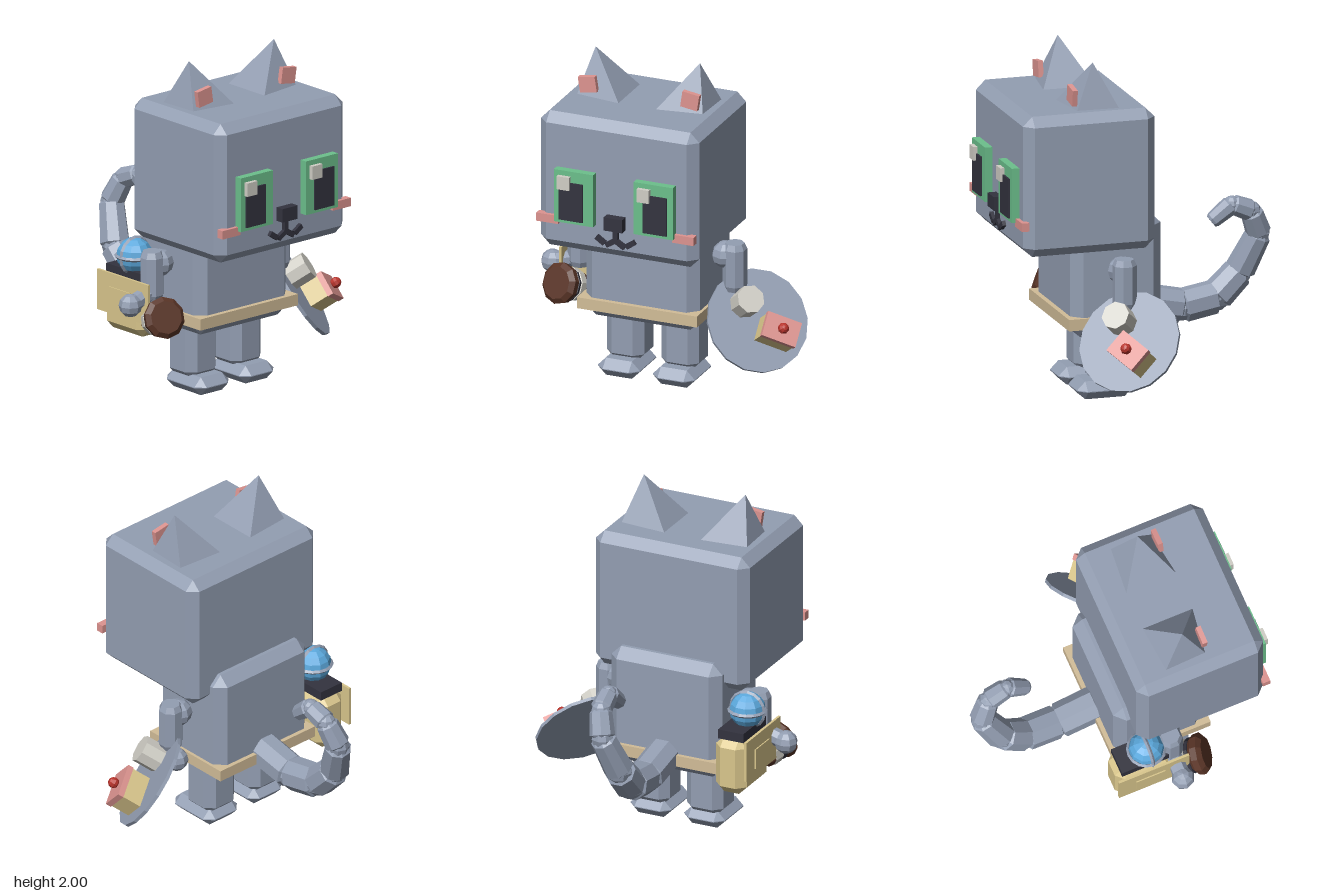
import * as THREE from 'three';
import { ConvexGeometry } from 'three/addons/geometries/ConvexGeometry.js';

const V = (x, y, z) => new THREE.Vector3(x, y, z);
const MID = -0.087; // the body's mirror plane in x

export function createModel() {
  const root = new THREE.Group();
  const mat = {};
  const colours = {
    fur: 0x939eb2, green: 0x6cc08c, pink: 0xdd9490, black: 0x33333f, cream: 0xd0cec6,
    tan: 0xd2bd98, yellow: 0xd9c68c, brown: 0x5a3527, red: 0xb8342c, blue: 0x5ba8dc,
  };
  for (const [name, color] of Object.entries(colours)) {
    mat[name] = new THREE.MeshStandardMaterial({ color });
    mat[name].name = name;
  }

  // Faceted mesh: every face keeps its own normal
  function add(name, geo, material, pos = [0, 0, 0], parent = root) {
    const g = geo.index ? geo.toNonIndexed() : geo;
    g.computeVertexNormals();
    const mesh = new THREE.Mesh(g, mat[material]);
    mesh.name = name;
    mesh.position.set(...pos);
    parent.add(mesh);
    return mesh;
  }

  // Box given by its lower and upper corners, with optional chamfer
  function block(name, material, lo, hi, bevel = 0, parent = root) {
    const s = hi.map((v, i) => v - lo[i]);
    const c = hi.map((v, i) => (v + lo[i]) / 2);
    let geo = new THREE.BoxGeometry(...s);
    if (bevel) {
      const pts = [];
      for (const i of [-1, 1]) for (const j of [-1, 1]) for (const k of [-1, 1])
        for (let axis = 0; axis < 3; axis++) {
          const p = [i, j, k].map((sign, a) => sign * (s[a] / 2 - (a === axis ? 0 : bevel)));
          pts.push(V(...p));
        }
      geo = new ConvexGeometry(pts);
    }
    return add(name, geo, material, c, parent);
  }

  // Chamfered prism running from a to b
  function limb(name, material, a, b, r1, r2, sides = 8, cut = 0.02, parent = root) {
    const from = V(...a), dir = V(...b).sub(from), L = dir.length();
    const profile = [[0, 0], [r1 * 0.78, 0], [r1, cut], [r2, L - cut], [r2 * 0.78, L], [0, L]];
    const geo = new THREE.LatheGeometry(profile.map(p => new THREE.Vector2(...p)), sides, Math.PI / sides);
    const m = add(name, geo, material, a, parent);
    m.quaternion.setFromUnitVectors(V(0, 1, 0), dir.normalize());
    return m;
  }

  const ball = (name, material, r, pos, parent = root) =>
    add(name, new THREE.SphereGeometry(r, 8, 6), material, pos, parent);

  // Head, torso and belt
  block('head', 'fur', [-0.577, 0.915, -0.018], [0.403, 1.74, 0.768], 0.055);
  block('torso', 'fur', [-0.44, 0.38, -0.1], [0.265, 1.08, 0.44], 0.06);
  block('belt', 'tan', [-0.46, 0.44, -0.125], [0.283, 0.507, 0.47]);

  for (const s of [-1, 1]) {
    const side = s < 0 ? 'right' : 'left';
    const X = d => MID + s * d;
    const pair = (name, m, d, w, y0, y1, z0, z1, bevel) =>
      block(side + name, m, [X(d) - w / 2, y0, z0], [X(d) + w / 2, y1, z1], bevel);

    // Legs and feet
    pair('Leg', 'fur', 0.17, 0.232, 0.07, 0.46, 0.06, 0.29, 0.05);
    pair('Foot', 'fur', 0.17, 0.26, 0, 0.105, 0.05, 0.385, 0.05);

    // Ear: leaning pyramid with a pink plate
    add(side + 'Ear', new ConvexGeometry([
      V(X(0.4), 1.735, 0.18), V(X(0.113), 1.735, 0.155), V(X(0.113), 1.735, 0.47),
      V(X(0.39), 1.735, 0.43), V(X(0.323), 2, 0.315),
    ]), 'fur');
    const inner = add(side + 'InnerEar', new THREE.BoxGeometry(0.105, 0.095, 0.03), 'pink', [X(0.317), 1.815, 0.435]);
    inner.rotation.z = -s * 0.15;

    // Eye and cheek
    pair('Eye', 'green', 0.247, 0.243, 1.105, 1.425, 0.76, 0.813);
    pair('Pupil', 'black', 0.26, 0.148, 1.125, 1.357, 0.8, 0.824);
    const hx = X(0.247) - 0.055;
    block(side + 'EyeHighlight', 'cream', [hx - 0.038, 1.315, 0.8], [hx + 0.038, 1.395, 0.838]);
    pair('Cheek', 'pink', 0.42, 0.134, 1.08, 1.13, 0.745, 0.79);

    // Mouth: an inner and an outer stroke
    for (const [dx, y, w, turn] of [[0.03, 1.013, 0.065, -0.55], [0.093, 1.022, 0.062, 0.6]]) {
      const m = add(side + 'MouthStroke', new THREE.BoxGeometry(w, 0.03, 0.03), 'black', [X(dx), y, 0.775]);
      m.rotation.z = s * turn;
    }

    // Shoulder and upper arm
    ball(side + 'Shoulder', 'fur', 0.08, [X(0.42), 0.79, 0.175]);
    limb(side + 'Arm', 'fur', [X(0.48), 0.58, 0.175], [X(0.48), 0.87, 0.175], 0.07, 0.07, 8, 0.035);
  }
  block('nose', 'black', [-0.145, 1.1, 0.76], [-0.03, 1.18, 0.82]);
  block('mouthStem', 'black', [-0.102, 1.02, 0.76], [-0.072, 1.1, 0.79]);

  // Hands
  ball('leftHand', 'fur', 0.068, [0.37, 0.5, 0.15]);
  ball('rightHand', 'fur', 0.068, [-0.735, 0.58, 0.18]);
  limb('rightForearm', 'fur', [-0.57, 0.63, 0.175], [-0.72, 0.585, 0.18], 0.05, 0.05);

  // Tail: shrinking segments curling up and back over
  const tail = [
    [-0.09, 0.485, -0.07, 0.105], [-0.09, 0.435, -0.32, 0.1], [-0.1, 0.47, -0.53, 0.096],
    [-0.1, 0.61, -0.67, 0.088], [-0.04, 0.84, -0.768, 0.074], [0, 0.985, -0.71, 0.064],
    [0.01, 1.035, -0.59, 0.057], [0, 0.94, -0.47, 0.046],
  ];
  for (let i = 0; i < tail.length - 1; i++) {
    const [a, b] = [tail[i], tail[i + 1]];
    limb('tailSegment', 'fur', a.slice(0, 3), b.slice(0, 3), a[3], b[3] * 1.03, 8, 0.015);
    if (i) ball('tailJoint', 'fur', a[3] * 0.88, a.slice(0, 3));
  }

  // Tray held in the left hand, local y along its normal
  const tray = new THREE.Group();
  tray.name = 'tray';
  const n = V(0.61, 0.55, 0.57).normalize();
  const u = V(0.8, -0.4, -0.45);
  u.addScaledVector(n, -u.dot(n)).normalize();
  tray.quaternion.setFromRotationMatrix(new THREE.Matrix4().makeBasis(u, n, u.clone().cross(n)));
  tray.position.set(0.537, 0.418, 0.19);
  root.add(tray);
  add('trayDisc', new THREE.CylinderGeometry(0.304, 0.304, 0.02, 16), 'fur', [0, 0, 0], tray);
  add('cup', new THREE.CylinderGeometry(0.083, 0.083, 0.13, 8), 'cream', [-0.108, 0.075, -0.062], tray);
  block('cake', 'yellow', [0.01, 0, -0.02], [0.21, 0.125, 0.12], 0, tray);
  block('icing', 'pink', [0.005, 0.125, -0.025], [0.215, 0.16, 0.125], 0, tray);
  ball('berry', 'red', 0.033, [0.111, 0.183, 0.05], tray);

  // Small barrel held in the right hand, local y towards its front end
  const barrel = new THREE.Group();
  barrel.name = 'barrel';
  barrel.position.set(-0.565, 0.455, 0.18);
  barrel.quaternion.setFromUnitVectors(V(0, 1, 0), V(-0.3, 0.35, 0.88).normalize());
  root.add(barrel);
  limb('barrelBack', 'brown', [0, 0, 0], [0, 0.06, 0], 0.082, 0.09, 10, 0.015, barrel);
  limb('barrelBand', 'cream', [0, 0.04, 0], [0, 0.11, 0], 0.095, 0.1, 10, 0.01, barrel);
  limb('barrelDarkBand', 'black', [0, 0.1, 0], [0, 0.14, 0], 0.1, 0.105, 10, 0.01, barrel);
  limb('barrelFront', 'brown', [0, 0.125, 0], [0, 0.215, 0], 0.115, 0.122, 10, 0.025, barrel);

  // Satchel on the right hip
  block('bag', 'yellow', [-0.64, 0.35, -0.18], [-0.445, 0.69, 0.17], 0.05);
  block('bagOpening', 'black', [-0.627, 0.68, -0.15], [-0.467, 0.735, 0.14]);
  block('bagFlap', 'yellow', [-0.665, 0.46, -0.185], [-0.65, 0.7, 0.25]);
  block('bagClasp', 'yellow', [-0.672, 0.5, -0.08], [-0.66, 0.62, 0.1]);

  // Glass ball with two hoops, resting in the satchel
  const orb = [-0.567, 0.81, 0.025];
  add('glassBall', new THREE.SphereGeometry(0.105, 10, 8), 'blue', orb);
  for (const turn of [0, Math.PI / 2]) {
    const hoop = add('ballHoop', new THREE.TorusGeometry(0.104, 0.012, 4, 16), 'fur', orb);
    hoop.rotation.x = turn;
  }
  return root;
}
